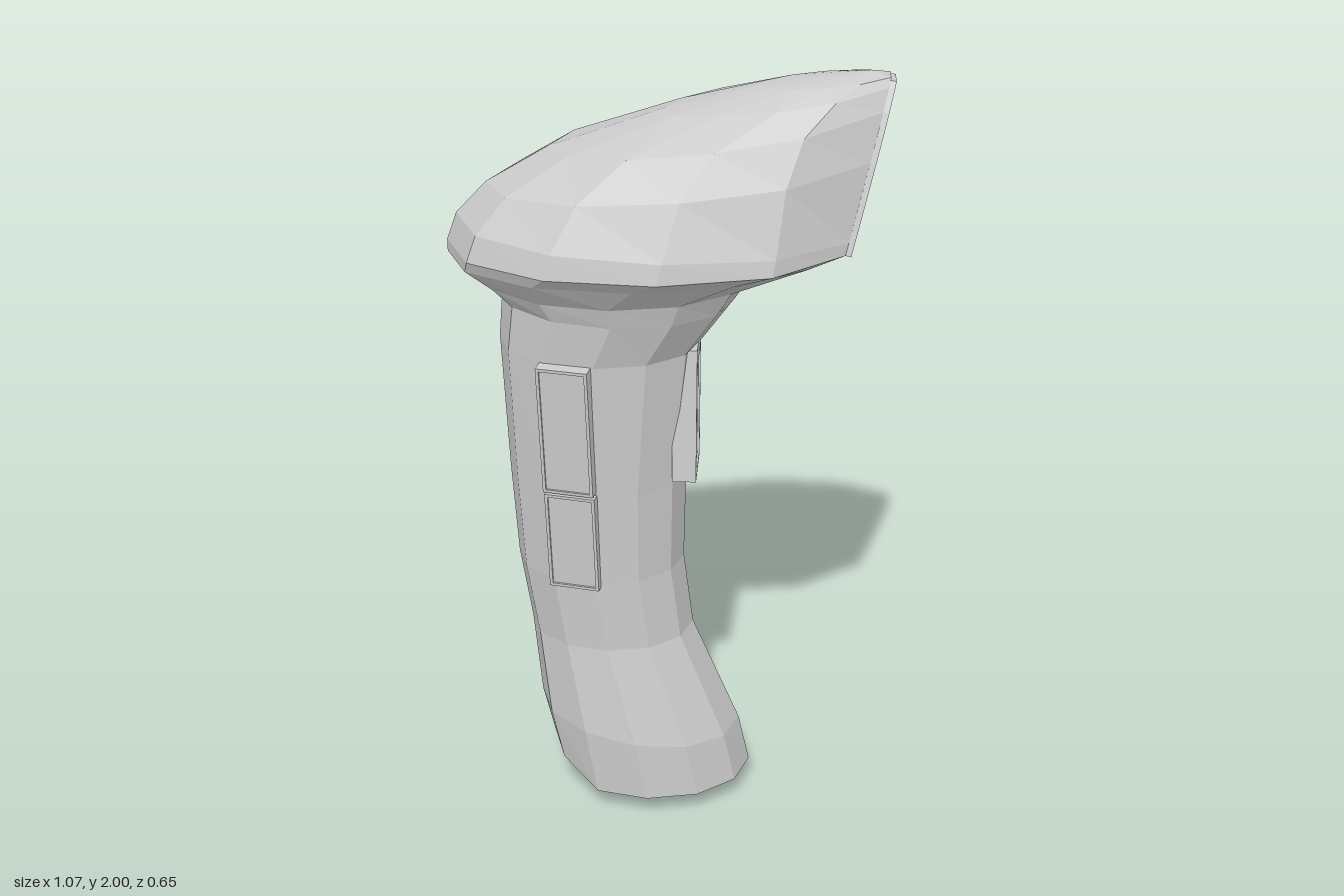
import * as THREE from 'three';

const SIDES = 12;
const material = () => new THREE.MeshStandardMaterial({ color: 0xcccccc, flatShading: true });

// Slanted plane of the scan window and its half width at a height
const CUT_SLOPE = 0.236;
const cutX = y => 0.432 + (y - 1.6) * CUT_SLOPE;
const windowHalf = y => 0.155 * Math.sqrt(Math.max(0, 2 - y) / 0.4);

// Cross-sections from the butt upward: [backX, backY, frontX, frontY, halfDepth, kind]
const RINGS = [
  [0.05, 0, 0.05, 0, 0],
  [-0.04, 0.008, 0.11, 0.008, 0.06],
  [-0.13, 0.03, 0.18, 0.03, 0.13],
  [-0.30, 0.14, 0.23, 0.065, 0.205, 'heel'],
  [-0.33, 0.27, 0.20, 0.20, 0.208],
  [-0.35, 0.50, 0.075, 0.50, 0.167],
  [-0.38, 0.70, 0.05, 0.70, 0.172],
  [-0.395, 0.95, 0.055, 0.95, 0.18],
  [-0.41, 1.31, 0.09, 1.31, 0.192],
  [-0.40, 1.43, 0.17, 1.42, 0.215],
  [-0.45, 1.475, 0.21, 1.48, 0.23],
  [-0.53, 1.53, 0.41, 1.56, 0.285],
  [-0.53, 1.56, 0.53, 1.60, 0.325, 'head'],
  [-0.505, 1.63, 0.53, 1.63, 0.317, 'head'],
  [-0.43, 1.71, 0.53, 1.81, 0.268, 'head'],
  [-0.28, 1.80, 0.53, 1.92, 0.21, 'head'],
  [0.0, 1.90, 0.53, 1.97, 0.13, 'head'],
  [0.22, 1.96, 0.53, 1.99, 0.07, 'head'],
  [0.48, 2.0, 0.48, 2.0, 0],
];

function ringPoint([bx, by, fx, fy, depth, kind], j) {
  const a = (j / SIDES) * Math.PI * 2;
  const c = Math.cos(a);
  // The three front corners of each head section lie on the window plane
  if (kind === 'head' && c > 0.8) {
    return [cutX(fy), fy, windowHalf(fy) * Math.sign(Math.round(Math.sin(a) * 2))];
  }
  const t = kind === 'heel' ? Math.max(0, -2 * c - 1) : (1 - c) / 2;
  return [(bx + fx) / 2 + (fx - bx) / 2 * c, fy + (by - fy) * t, depth * Math.sin(a)];
}

// One continuous loft for grip, neck and head
function bodyGeometry() {
  const positions = [];
  const index = [];
  RINGS.forEach(ring => {
    for (let j = 0; j < SIDES; j++) positions.push(...ringPoint(ring, j));
  });
  for (let i = 0; i < RINGS.length - 1; i++) {
    for (let j = 0; j < SIDES; j++) {
      const k = (j + 1) % SIDES;
      const a = i * SIDES + j, b = i * SIDES + k;
      const c = a + SIDES, d = b + SIDES;
      if (i < RINGS.length - 2) index.push(a, c, d);
      if (i > 0) index.push(a, d, b);
    }
  }
  const geometry = new THREE.BufferGeometry();
  geometry.setAttribute('position', new THREE.Float32BufferAttribute(positions, 3));
  geometry.setIndex(index);
  const flat = geometry.toNonIndexed();
  flat.computeVertexNormals();
  return flat;
}

function addMesh(parent, name, geometry) {
  const mesh = new THREE.Mesh(geometry, material());
  mesh.name = name;
  parent.add(mesh);
  return mesh;
}

// Raised rim around a slightly recessed face, front at local z = 0
function pad(name, w, h, depth) {
  const group = new THREE.Group();
  group.name = name;
  const rect = (Type, x, y) => new Type([[-x, -y], [x, -y], [x, y], [-x, y]]
    .map(p => new THREE.Vector2(...p)));
  const outline = rect(THREE.Shape, w / 2, h / 2);
  outline.holes.push(rect(THREE.Path, w / 2 - 0.008, h / 2 - 0.008));
  const rim = new THREE.ExtrudeGeometry(outline, { depth, bevelEnabled: false });
  addMesh(group, name + 'Rim', rim.translate(0, 0, -depth));
  const face = new THREE.BoxGeometry(w - 0.016, h - 0.016, depth - 0.005);
  addMesh(group, name + 'Face', face.translate(0, 0, -0.005 - (depth - 0.005) / 2));
  return group;
}

// Arched window outline, measured along the slanted plane
function windowOutline(Type, inset) {
  const stretch = Math.hypot(1, CUT_SLOPE);
  const heights = [1.6, 1.63, 1.72, 1.81, 1.87, 1.92, 1.97, 1.985];
  const side = heights.map((y, i) => new THREE.Vector2(
    Math.max(0.004, windowHalf(y) - inset),
    (y - 1.6) * stretch + (i === 0 ? inset : 0) - (i > 5 ? inset : 0)));
  const other = side.map(p => new THREE.Vector2(-p.x, p.y)).reverse();
  return new Type([...side, ...other]);
}

function scanWindow() {
  const group = new THREE.Group();
  group.name = 'scanWindow';
  const frame = windowOutline(THREE.Shape, 0);
  frame.holes.push(windowOutline(THREE.Path, 0.011));
  addMesh(group, 'windowFrame', new THREE.ExtrudeGeometry(frame, { depth: 0.014, bevelEnabled: false }));
  const pane = addMesh(group, 'windowPane', new THREE.ExtrudeGeometry(
    windowOutline(THREE.Shape, 0.011), { depth: 0.004, bevelEnabled: false }));
  pane.position.z = 0.001;
  const up = new THREE.Vector3(CUT_SLOPE, 1, 0).normalize();
  const right = new THREE.Vector3(0, 0, -1);
  const normal = right.clone().cross(up);
  group.quaternion.setFromRotationMatrix(new THREE.Matrix4().makeBasis(right, up, normal));
  group.position.set(cutX(1.6), 1.6, 0);
  return group;
}

export function createModel() {
  const model = new THREE.Group();
  model.name = 'handheldScanner';
  addMesh(model, 'body', bodyGeometry());
  model.add(scanWindow());

  // Trigger on the front of the grip
  const trigger = pad('trigger', 0.19, 0.35, 0.06);
  trigger.rotation.set(0, Math.PI / 2, -0.065);
  trigger.position.set(0.085, 1.135, 0);
  model.add(trigger);

  // Two buttons stacked on one side facet
  const buttons = [
    ['upperButton', 0.345, -0.232, 1.137, 0.2],
    ['lowerButton', 0.27, -0.222, 0.823, 0.181],
  ];
  buttons.forEach(([name, height, x, y, z]) => {
    const button = pad(name, 0.13, height, 0.05);
    button.rotation.set(0.06, -0.21, 0.025);
    button.position.set(x, y, z);
    model.add(button);
  });
  return model;
}
